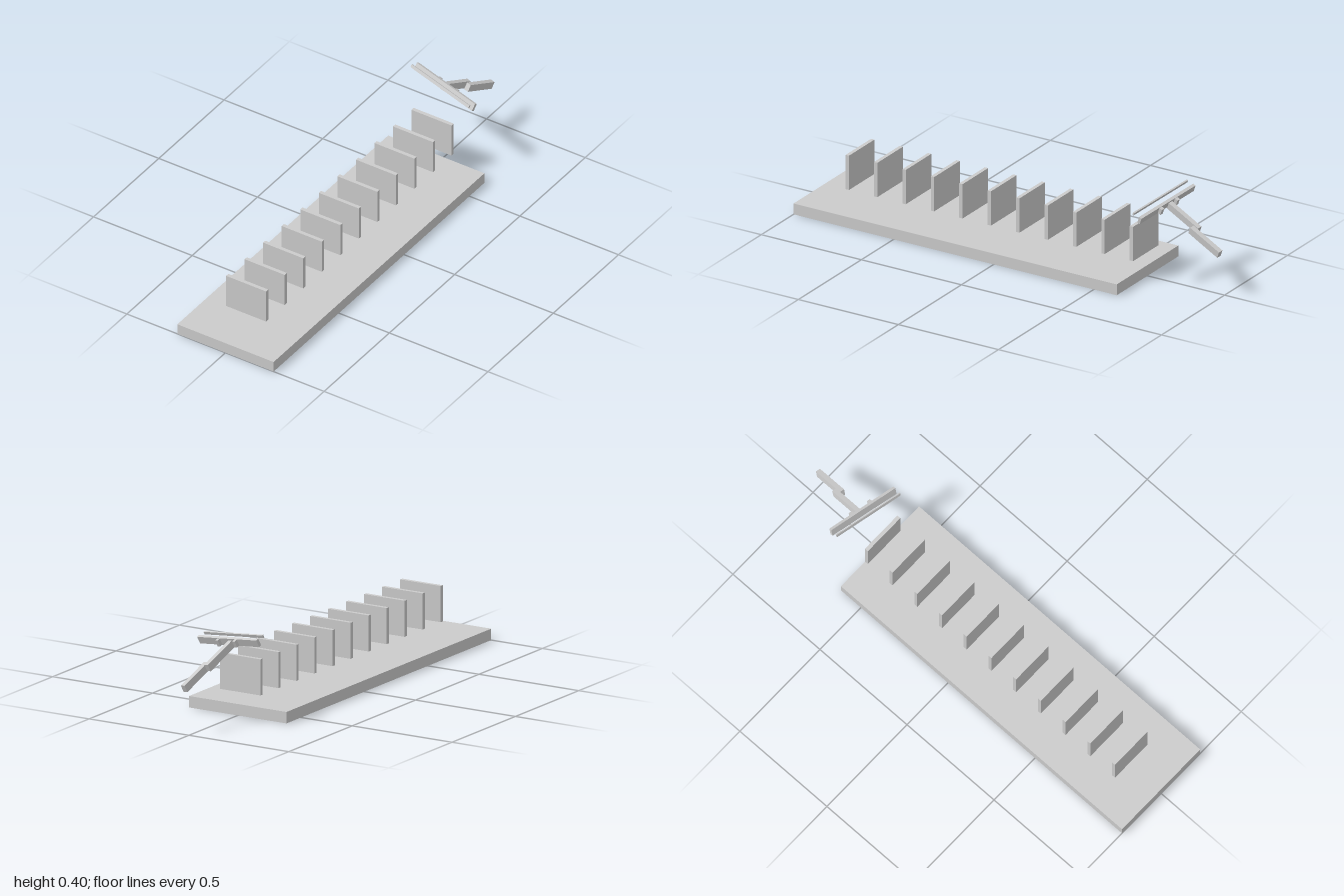
import * as THREE from 'three';

const material = new THREE.MeshStandardMaterial({ color: 0xcccccc, flatShading: true });

// Box with a name, size and centre
function box(parent, name, size, position) {
  const mesh = new THREE.Mesh(new THREE.BoxGeometry(...size), material);
  mesh.name = name;
  mesh.position.set(...position);
  parent.add(mesh);
  return mesh;
}

export function createModel() {
  const model = new THREE.Group();
  model.name = 'panelTrack';

  // Long floor slab
  box(model, 'base', [0.488, 0.05, 1.615], [0, 0.025, 0.1925]);

  // Row of upright panels floating above the slab
  const panels = new THREE.Group();
  panels.name = 'panels';
  model.add(panels);
  for (let i = 0; i < 11; i++) {
    box(panels, 'panel', [0.203, 0.158, 0.017], [-0.0055, 0.179, 0.825 - i * 0.142]);
  }

  // Tilted crossbar device: local x along the bar, local z pointing forward
  const device = new THREE.Group();
  device.name = 'crossbarDevice';
  const along = new THREE.Vector3(0.976, -0.131, 0.175).normalize();
  const forward = new THREE.Vector3(-0.13, 0.42, 0.9);
  const up = new THREE.Vector3().crossVectors(forward, along).normalize();
  forward.crossVectors(along, up);
  device.quaternion.setFromRotationMatrix(new THREE.Matrix4().makeBasis(along, up, forward));
  device.position.set(-0.012, 0.347, -0.702);
  model.add(device);

  // Wide bar with a slim rail ahead of it
  box(device, 'crossbar', [0.343, 0.034, 0.014], [0, 0, 0]);
  box(device, 'frontRail', [0.341, 0.013, 0.007], [0, 0.006, 0.039]);

  // Small lugs behind the bar
  for (const side of [-1, 1]) {
    box(device, 'lug', [0.016, 0.03, 0.016], [side * 0.049, 0, -0.014]);
  }

  // Two overlapping stock beams, side by side
  box(device, 'frontStock', [0.021, 0.033, 0.176], [-0.015, -0.008, -0.095]);
  box(device, 'rearStock', [0.022, 0.033, 0.172], [0.0075, -0.012, -0.244]);

  return model;
}
